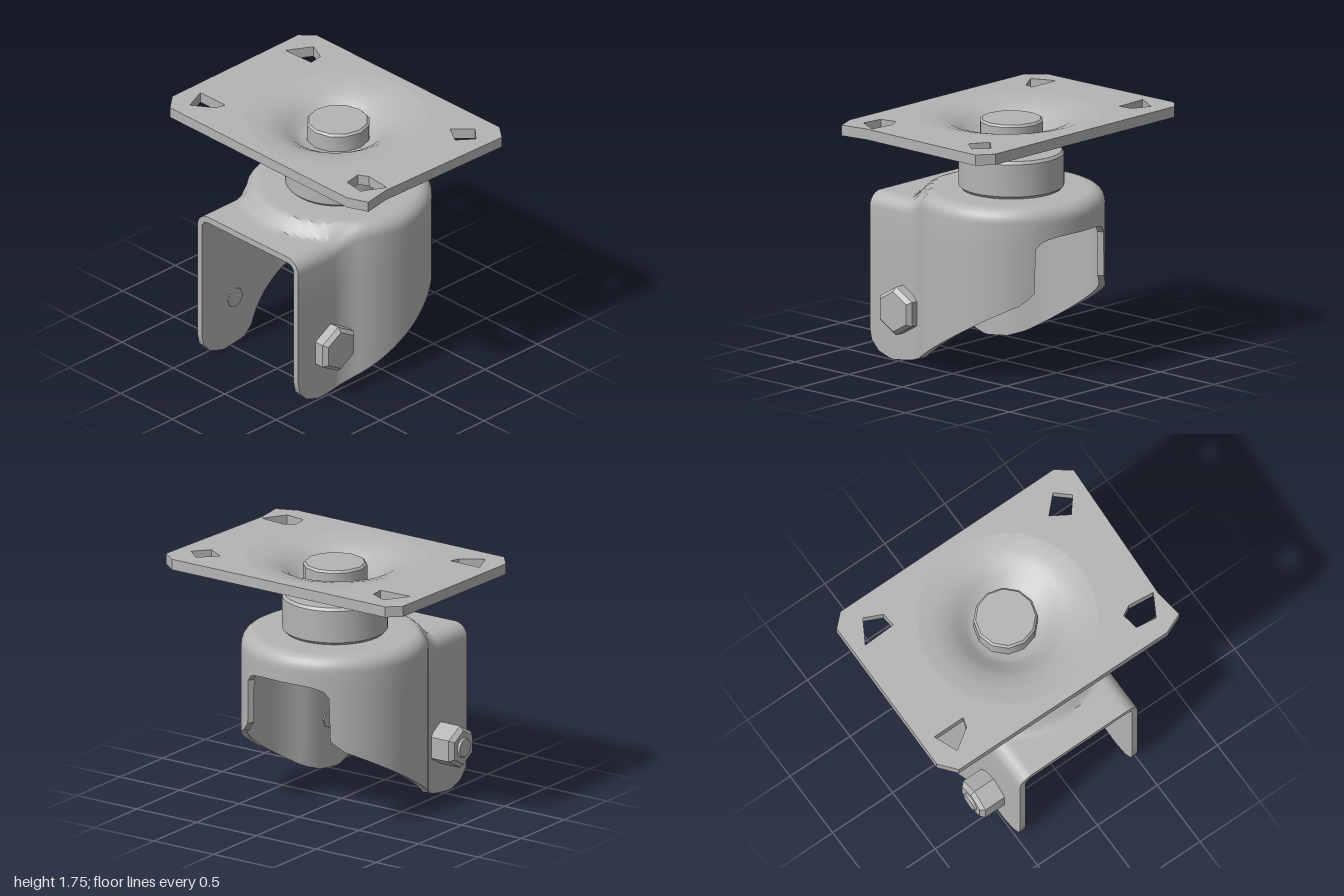
import * as THREE from 'three';
import { toCreasedNormals } from 'three/addons/utils/BufferGeometryUtils.js';

const AXIS_X = 0.08; // swivel axis
const RADIUS = 0.64; // round end of the fork
const WALL = 0.045;

const steel = new THREE.MeshStandardMaterial({ color: 0xb4b4b4 });
steel.name = 'steel grey';

function part(name, geometry, crease = 0.6) {
  const mesh = new THREE.Mesh(toCreasedNormals(geometry, crease), steel);
  mesh.name = name;
  return mesh;
}

const lathe = (points, segments) =>
  new THREE.LatheGeometry(points.map(([r, y]) => new THREE.Vector2(r, y)), segments);

// Lower edge of the fork legs as height over x
const EDGE = [[-0.78, 0.2], [-0.765, 0.12], [-0.7, 0.05], [-0.58, 0.01], [-0.42, 0.03], [-0.33, 0.05], [0.56, 0.57], [0.61, 0.63], [0.64, 0.7]];
function edgeHeight(x) {
  for (let i = 1; i < EDGE.length; i++) {
    const [x0, y0] = EDGE[i - 1], [x1, y1] = EDGE[i];
    if (x <= x1) return y0 + (y1 - y0) * (x - x0) / (x1 - x0);
  }
  return 0.7;
}

// Raised round crown over a lower rear shelf
function crownHeight(x, z) {
  const r = Math.hypot(x - AXIS_X, z);
  const dome = 1 - THREE.MathUtils.smoothstep(r, 0.56, 0.67);
  return 1.15 + 0.095 * Math.max(dome, THREE.MathUtils.smoothstep(x, -0.45, -0.2));
}

// Plan path: straight leg, round end, mirrored leg
function forkPath() {
  const half = [-0.78, -0.765, -0.73, -0.7, -0.64, -0.6, -0.56, -0.53, -0.5, -0.47, -0.43, -0.38]
    .map((x) => ({ x, z: 0.49, low: edgeHeight(x) }));
  const add = (a, low) => {
    const x = AXIS_X + RADIUS * Math.cos(a), z = RADIUS * Math.sin(a);
    half.push({ x, z, low: low ?? edgeHeight(x) });
  };
  for (let i = 0; i <= 20; i++) add(2.18 + (0.57 - 2.18) * i / 20);
  // arched opening in the round end
  [[0.555, 0.96], [0.5, 1.0], [0.42, 1.02], [0.28, 1.035], [0.14, 1.04]].forEach(([a, y]) => add(a, y));
  const path = [...half];
  path.push({ x: AXIS_X + RADIUS, z: 0, low: 1.04 });
  half.reverse().forEach((p) => path.push({ ...p, z: -p.z }));
  return path;
}

// Pressed sheet fork: outer and inner skins joined along their edges
function forkGeometry() {
  const path = forkPath();
  const walls = 4, bends = 6, tops = 12;
  const rows = walls + bends + tops + 1;
  const pos = [], index = [];
  const skin = (inset, drop) => path.forEach((p, i) => {
    const a = path[Math.max(i - 1, 0)], b = path[Math.min(i + 1, path.length - 1)];
    const len = Math.hypot(b.x - a.x, b.z - a.z);
    const x = p.x + inset * (b.z - a.z) / len;
    const z = p.z - inset * (b.x - a.x) / len;
    const sx = Math.min(x, AXIS_X), reach = Math.hypot(x - sx, z);
    const bend = 0.1 - inset;
    for (let j = 0; j < rows; j++) {
      let d = 0;
      if (j > walls + bends) d = bend + (reach - bend) * (j - walls - bends) / tops;
      else if (j > walls) d = bend * (1 - Math.cos((j - walls) / bends * Math.PI / 2));
      const k = d / reach;
      const px = x + (sx - x) * k, pz = z * (1 - k);
      const crown = crownHeight(px, pz) - drop;
      const rest = bend - Math.min(d, bend);
      let y = crown - bend + Math.sqrt(Math.max(bend * bend - rest * rest, 0));
      if (j < walls) y = p.low + (crown - bend - p.low) * j / walls;
      pos.push(px, y, pz);
    }
  });
  skin(0, 0);
  skin(WALL, WALL);
  const n = path.length, inner = n * rows;
  const quad = (a, b, c, d) => index.push(a, b, c, a, c, d);
  for (let i = 0; i < n - 1; i++) {
    const a = i * rows, b = a + rows;
    for (let j = 0; j < rows - 1; j++) {
      quad(a + j, b + j, b + j + 1, a + j + 1);
      quad(inner + b + j, inner + a + j, inner + a + j + 1, inner + b + j + 1);
    }
    quad(inner + a, inner + b, b, a);
  }
  const last = (n - 1) * rows;
  for (let j = 0; j < rows - 1; j++) {
    quad(inner + j, j, j + 1, inner + j + 1);
    quad(last + j, inner + last + j, inner + last + j + 1, last + j + 1);
  }
  const geometry = new THREE.BufferGeometry();
  geometry.setAttribute('position', new THREE.Float32BufferAttribute(pos, 3));
  geometry.setIndex(index);
  return geometry;
}

// Mounting plate with chamfered corners, bolt holes and a pressed centre dish
function mountingPlate() {
  const points = (list) => list.map(([x, z]) => new THREE.Vector2(x, z));
  const shape = new THREE.Shape(points([[-0.62, -0.9], [-0.5, -1], [0.69, -0.99], [0.775, -0.9],
    [0.775, 0.88], [0.69, 0.99], [-0.37, 0.945], [-0.57, 0.975], [-0.63, 0.83]]));
  const holes = [
    [[-0.5, -0.83], [-0.33, -0.9], [-0.33, -0.66], [-0.4, -0.68]],
    [[0.48, -0.9], [0.65, -0.8], [0.59, -0.67], [0.49, -0.66]],
    [[-0.5, 0.83], [-0.48, 0.68], [-0.36, 0.66], [-0.32, 0.73], [-0.34, 0.92]],
    [[0.44, 0.79], [0.52, 0.66], [0.64, 0.78], [0.55, 0.88]],
  ];
  holes.forEach((h) => shape.holes.push(new THREE.Path(points(h))));
  const ring = new THREE.Path();
  ring.absarc(AXIS_X, 0, 0.62, 0, Math.PI * 2, true);
  shape.holes.push(ring);
  const plate = new THREE.ExtrudeGeometry(shape, { depth: 0.075, bevelEnabled: false, curveSegments: 12 });
  plate.rotateX(Math.PI / 2).translate(0, 1.75, 0);

  const dish = lathe([[0, 1.53], [0.19, 1.53], [0.22, 1.545], [0.29, 1.6], [0.38, 1.64], [0.5, 1.655], [0.62, 1.66],
    [0.62, 1.75], [0.52, 1.74], [0.42, 1.715], [0.34, 1.67], [0.28, 1.62], [0.24, 1.6], [0, 1.6]], 24);
  dish.translate(AXIS_X, 0, 0);

  const group = new THREE.Group();
  group.name = 'mountingPlate';
  group.add(part('plate', plate), part('dish', dish));
  group.rotation.z = 0.011;
  return group;
}

// Axle hardware lies along z
function axlePart(name, radius, endRadius, z0, z1, sides) {
  const length = Math.abs(z1 - z0);
  const g = new THREE.CylinderGeometry(endRadius, radius, length, sides);
  g.rotateX(Math.PI / 2);
  if (z1 < z0) g.rotateY(Math.PI);
  return part(name, g.translate(-0.47, 0.38, (z0 + z1) / 2), 0.5);
}

export function createModel() {
  const model = new THREE.Group();
  model.name = 'casterFork';
  model.add(part('fork', forkGeometry()), mountingPlate());

  // Swivel housing, neck and kingpin head
  const housing = lathe([[0, 1.235], [0.33, 1.235], [0.36, 1.265], [0.36, 1.49], [0.345, 1.51], [0, 1.505]], 40);
  const neck = lathe([[0.14, 1.49], [0.14, 1.55]], 16);
  const pin = lathe([[0.22, 1.58], [0.22, 1.715], [0.205, 1.73], [0, 1.73]], 12);
  for (const [name, g] of [['swivelHousing', housing], ['swivelNeck', neck], ['kingpinHead', pin]]) {
    model.add(part(name, g.translate(AXIS_X, 0, 0)));
  }

  // Hex bolt head in front, nut and bolt end at the back, stubs inside the legs
  model.add(
    axlePart('boltHead', 0.17, 0.17, 0.48, 0.56, 6),
    axlePart('boltHeadCrown', 0.17, 0.14, 0.56, 0.59, 6),
    axlePart('nut', 0.15, 0.15, -0.48, -0.65, 6),
    axlePart('nutChamfer', 0.15, 0.12, -0.65, -0.68, 6),
    axlePart('boltEnd', 0.075, 0.065, -0.67, -0.695, 12),
    axlePart('leftBoltStub', 0.07, 0.07, 0.46, 0.435, 8),
    axlePart('rightBoltStub', 0.07, 0.07, -0.46, -0.435, 8),
  );
  return model;
}
